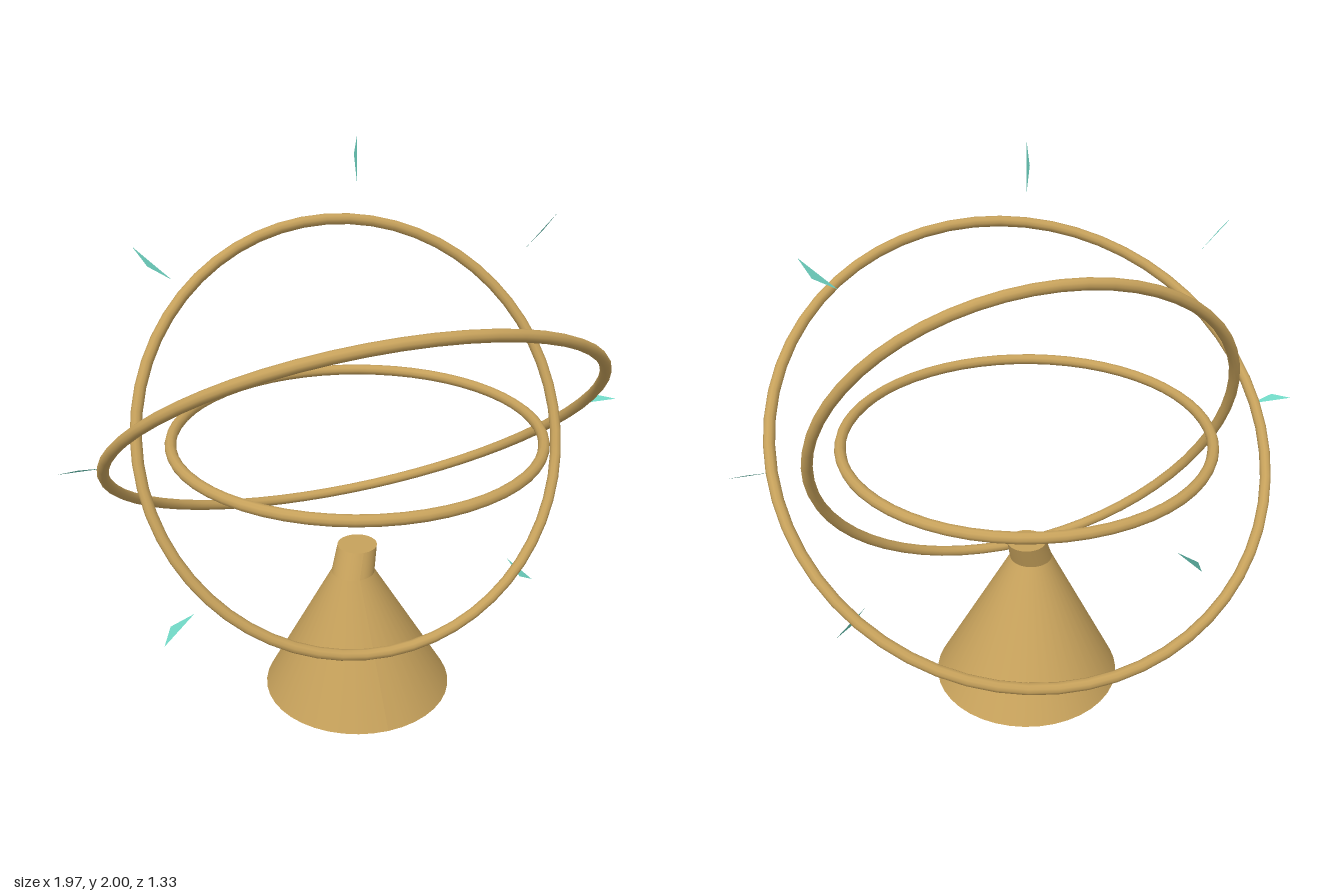
import * as THREE from 'three';

const brass = new THREE.MeshStandardMaterial({ color: 0xc6a15b });
brass.name = 'brass';
const teal = new THREE.MeshStandardMaterial({ color: 0x70d6c4, side: THREE.DoubleSide });
teal.name = 'teal';

const CENTRE_Y = 1.015;

function addMesh(parent, name, geometry, material) {
  const mesh = new THREE.Mesh(geometry, material);
  mesh.name = name;
  parent.add(mesh);
  return mesh;
}

// Pedestal band: a lathe between two profile points, with the neck joint pushed off-centre
function band(r0, y0, r1, y1) {
  const geo = new THREE.LatheGeometry([new THREE.Vector2(r0, y0), new THREE.Vector2(r1, y1)], 40);
  const p = geo.attributes.position;
  for (let i = 0; i < p.count; i++) {
    if (Math.abs(p.getY(i) - 0.51) < 0.001) {
      p.setX(i, p.getX(i) - 0.025);
      p.setZ(i, p.getZ(i) + 0.028);
    }
  }
  geo.computeVertexNormals();
  return geo;
}

export function createModel() {
  const model = new THREE.Group();
  model.name = 'armillarySphere';

  // Conical pedestal with a short neck and a shallow pointed underside
  const pedestal = new THREE.Group();
  pedestal.name = 'pedestal';
  model.add(pedestal);
  addMesh(pedestal, 'underside', band(0, 0.005, 0.333, 0.035), brass);
  addMesh(pedestal, 'cone', band(0.333, 0.035, 0.075, 0.51), brass);
  addMesh(pedestal, 'neck', band(0.075, 0.51, 0.069, 0.595), brass);
  addMesh(pedestal, 'neckTop', band(0.069, 0.595, 0, 0.595), brass);

  // Three nested rings, each tipped about the x axis
  const rings = [
    ['innerRing', 0.62, 90],
    ['middleRing', 0.733, -26.8],
    ['outerRing', 0.843, 50],
  ];
  for (const [name, radius, tilt] of rings) {
    const ring = addMesh(model, name, new THREE.TorusGeometry(radius, 0.019, 10, 56), brass);
    ring.position.y = CENTRE_Y;
    ring.rotation.x = THREE.MathUtils.degToRad(tilt);
  }

  // Eight floating shards, 45 degrees apart: sideways and z offset of each outer corner
  const corners = [
    [0.015, -0.022], [-0.018, -0.025], [0, -0.032], [0.014, 0.028],
    [-0.015, 0.022], [-0.024, -0.02], [0, 0.03], [-0.02, 0.016],
  ];
  corners.forEach(([side, z], i) => {
    const geo = new THREE.BufferGeometry();
    geo.setAttribute('position', new THREE.Float32BufferAttribute(
      [0.83, 0, 0, 0.985, 0, 0, 0.92, side, z], 3));
    geo.computeVertexNormals();
    const shard = addMesh(model, 'shard', geo, teal);
    shard.position.y = CENTRE_Y;
    shard.rotation.z = (i * Math.PI) / 4;
  });

  return model;
}
